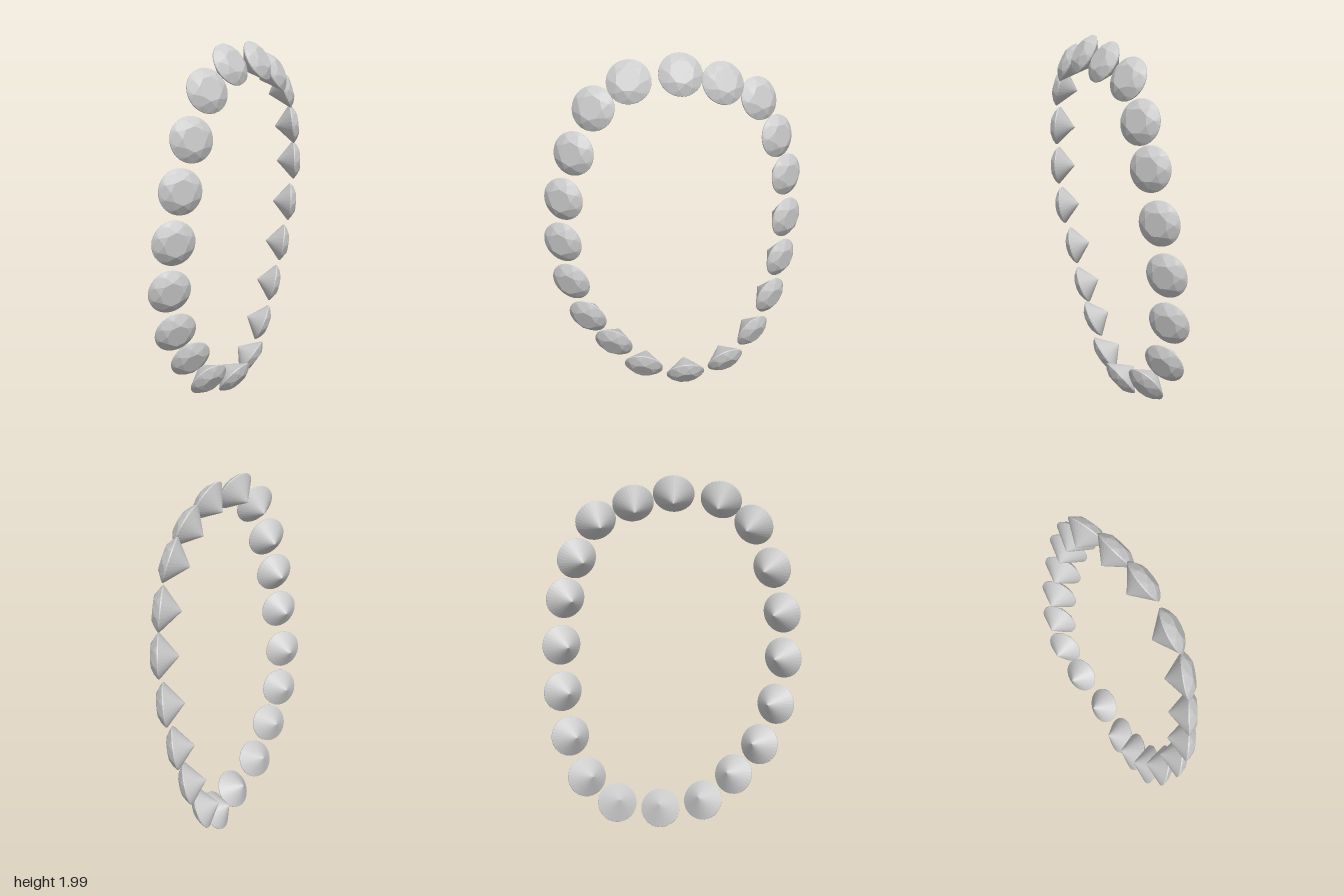
import * as THREE from 'three';

const R = 0.113, TABLE = 0.062, MID = 0.092;       // girdle, table and star radii
const CROWN = 0.038, STAR = 0.022, EDGE = 0.003, DEPTH = 0.1;
const SEG = 32;

// girdle centres around the loop [x, y, z]
const CENTRES = [
  [-0.13, 1.87, 0.285], [-0.29, 1.74, 0.365], [-0.39, 1.51, 0.405], [-0.455, 1.265, 0.42],
  [-0.485, 1.015, 0.4], [-0.485, 0.76, 0.335], [-0.43, 0.525, 0.265], [-0.315, 0.34, 0.18],
  [-0.17, 0.17, 0.085], [0.045, 0.105, -0.04], [0.235, 0.15, -0.205], [0.365, 0.32, -0.315],
  [0.455, 0.56, -0.345], [0.51, 0.815, -0.335], [0.54, 1.075, -0.3], [0.54, 1.335, -0.255],
  [0.495, 1.555, -0.2], [0.41, 1.76, -0.13], [0.265, 1.85, 0.015], [0.09, 1.9, 0.15],
].map((p) => new THREE.Vector3(...p));

// round brilliant cut, table facing +y
function gemGeometry() {
  const pos = [];
  const at = (r, h, turn) => {
    const a = turn * Math.PI * 2;
    return [r * Math.sin(a), h, r * Math.cos(a)];
  };
  const tri = (a, b, c) => pos.push(...a, ...b, ...c);
  const table = (i) => at(TABLE, CROWN, i / 8);
  const star = (i) => at(MID, STAR, (i + 0.5) / 8);
  const top = (j) => at(R, EDGE, j / SEG);
  const low = (j) => at(R, -EDGE, j / SEG);
  const per = SEG / 8;

  // crown: table, star facets, kites and upper girdle facets
  for (let i = 0; i < 8; i++) {
    tri([0, CROWN, 0], table(i), table(i + 1));
    tri(table(i), star(i), table(i + 1));
    tri(table(i), star(i - 1), top(i * per));
    tri(table(i), top(i * per), star(i));
    for (let j = i * per; j < (i + 1) * per; j++) tri(star(i), top(j), top(j + 1));
  }
  // thin girdle and pointed pavilion
  for (let j = 0; j < SEG; j++) {
    tri(top(j), low(j), low(j + 1));
    tri(top(j), low(j + 1), top(j + 1));
    tri(low(j), [0, -DEPTH, 0], low(j + 1));
  }
  const g = new THREE.BufferGeometry();
  g.setAttribute('position', new THREE.Float32BufferAttribute(pos, 3));
  g.computeVertexNormals();
  return g;
}

export function createModel() {
  const model = new THREE.Group();
  model.name = 'gemLoop';
  const geometry = gemGeometry();
  const material = new THREE.MeshStandardMaterial({ color: 0xcccccc, flatShading: true });
  const axis = new THREE.Vector3(0.55, -0.1, 0.83).normalize();   // facing of the whole loop
  const tilt = THREE.MathUtils.degToRad(33);                      // outward lean of each gem
  const up = new THREE.Vector3(0, 1, 0);
  const n = CENTRES.length;

  CENTRES.forEach((centre, i) => {
    const along = CENTRES[(i + 1) % n].clone().sub(CENTRES[(i + n - 1) % n]).normalize();
    const outward = along.cross(axis).normalize();
    const facing = axis.clone().multiplyScalar(Math.cos(tilt)).addScaledVector(outward, Math.sin(tilt));
    const gem = new THREE.Mesh(geometry, material);
    gem.name = `gem${i + 1}`;
    gem.position.copy(centre);
    gem.quaternion.setFromUnitVectors(up, facing.normalize());
    model.add(gem);
  });
  return model;
}
